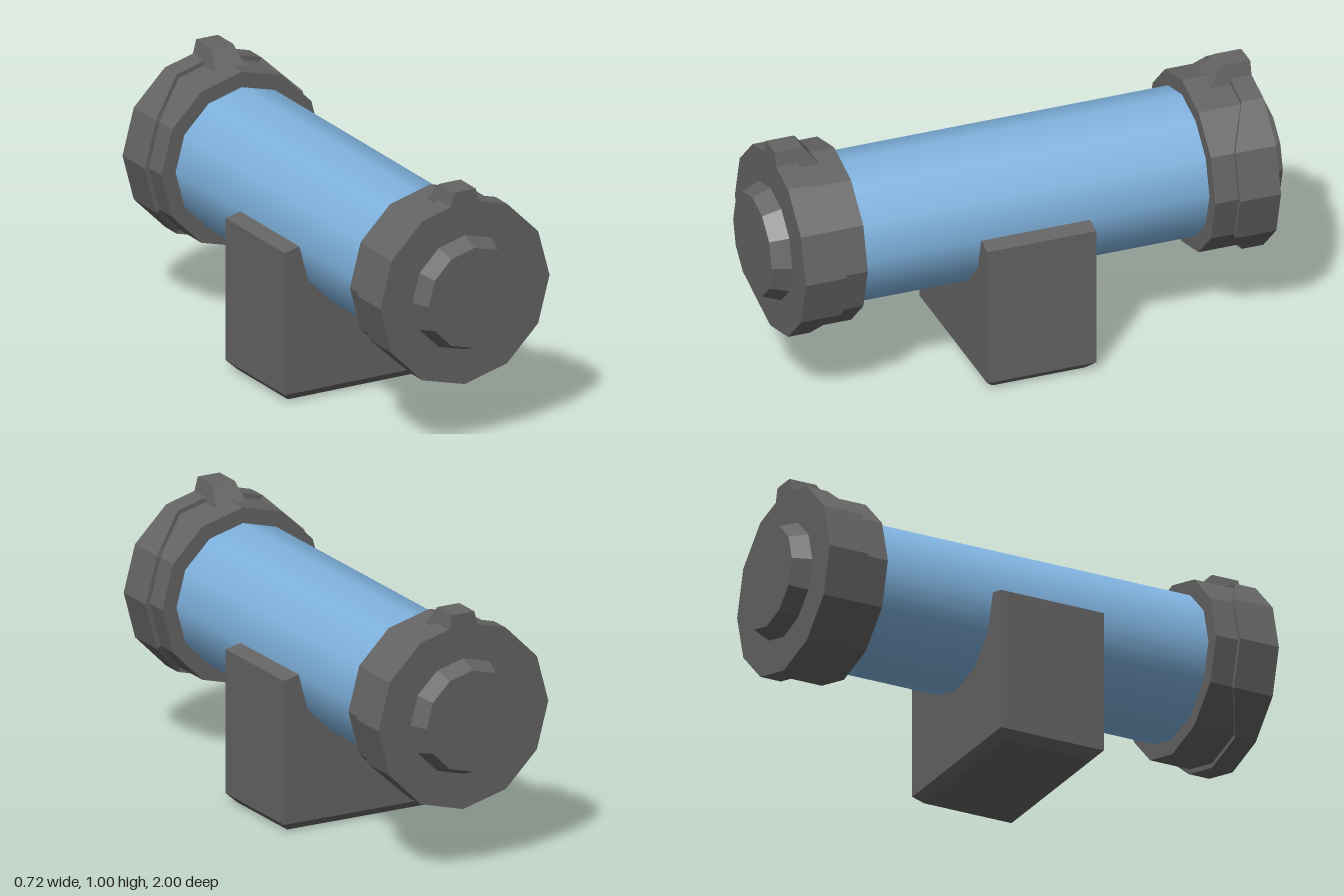
import * as THREE from 'three';

const AXIS_Y = 0.6; // height of the tube's axis
const SIDES = 12;

export function createModel() {
  const grey = new THREE.MeshStandardMaterial({ color: 0x646464, flatShading: true });
  grey.name = 'dark grey';
  const blue = new THREE.MeshStandardMaterial({ color: 0x7fb2de });
  blue.name = 'light blue';

  const model = new THREE.Group();
  model.name = 'tubeOnStand';

  const add = (parent, name, geometry, material) => {
    const mesh = new THREE.Mesh(geometry, material);
    mesh.name = name;
    parent.add(mesh);
    return mesh;
  };

  // Turned shape along +z from [radius, z] pairs
  const turned = (pairs) =>
    new THREE.LatheGeometry(pairs.map(([r, z]) => new THREE.Vector2(r, z)), SIDES).rotateX(Math.PI / 2);

  // Move every corner of a geometry by a rule
  const reshape = (geometry, rule) => {
    const p = geometry.attributes.position;
    const v = new THREE.Vector3();
    for (let i = 0; i < p.count; i++) {
      v.fromBufferAttribute(p, i);
      rule(v);
      p.setXYZ(i, v.x, v.y, v.z);
    }
    geometry.computeVertexNormals();
    return geometry;
  };

  // Tube with smooth sides
  const tube = add(model, 'tube', new THREE.CylinderGeometry(0.28, 0.28, 1.4, SIDES, 1, true).rotateX(Math.PI / 2), blue);
  tube.position.y = AXIS_Y;

  // Matching cap on each end
  for (const [name, turn] of [['frontCap', 0], ['backCap', Math.PI]]) {
    const cap = new THREE.Group();
    cap.name = name;
    cap.position.y = AXIS_Y;
    cap.rotation.y = turn;
    model.add(cap);

    add(cap, 'collar', turned([[0, 0.68], [0.34, 0.68], [0.34, 0.9]]), grey);

    // Flange, wide at the sides and narrow at top and bottom
    const flange = turned([[0.33, 0.77], [0.358, 0.77], [0.358, 0.93], [0, 0.93]]);
    reshape(flange, (v) => {
      if (v.z < 0.8 && Math.abs(v.y) > 0.25) v.z = 0.845;
    });
    add(cap, 'flange', flange, grey);

    add(cap, 'hub', turned([[0.222, 0.93], [0.195, 1], [0, 1]]), grey);

    // Tapered lug on top, sloping down towards the tube
    const lug = reshape(new THREE.BoxGeometry(2, 2, 2), (v) => {
      const top = v.y > 0;
      v.x *= top ? 0.046 : 0.068;
      v.z = v.z > 0 ? 0.93 : top ? 0.82 : 0.752;
      v.y = top ? 0.395 : 0.31;
    });
    add(cap, 'lug', lug, grey);
  }

  // Stand with a cradle cut to the tube
  const stand = new THREE.Group();
  stand.name = 'stand';
  model.add(stand);
  const W = 0.342, D = 0.213, BEVEL = 0.032;
  const profile = new THREE.Shape();
  profile.moveTo(-W, BEVEL);
  profile.lineTo(W, BEVEL);
  profile.lineTo(W, 0.585);
  for (let i = 0; i <= SIDES / 2; i++) {
    const a = (-i * 2 * Math.PI) / SIDES;
    profile.lineTo(0.278 * Math.cos(a), AXIS_Y + 0.278 * Math.sin(a));
  }
  profile.lineTo(-W, 0.585);
  profile.closePath();
  const cradle = new THREE.ExtrudeGeometry(profile, { depth: 2 * D, bevelEnabled: false });
  add(stand, 'cradle', cradle.translate(0, 0, -D), grey);

  // Foot with a chamfer all round
  const foot = reshape(new THREE.BoxGeometry(2, 2, 2), (v) => {
    const inset = v.y > 0 ? 0 : BEVEL;
    v.x *= W - inset;
    v.z *= D - inset;
    v.y = v.y > 0 ? BEVEL : 0;
  });
  add(stand, 'foot', foot, grey);

  return model;
}
